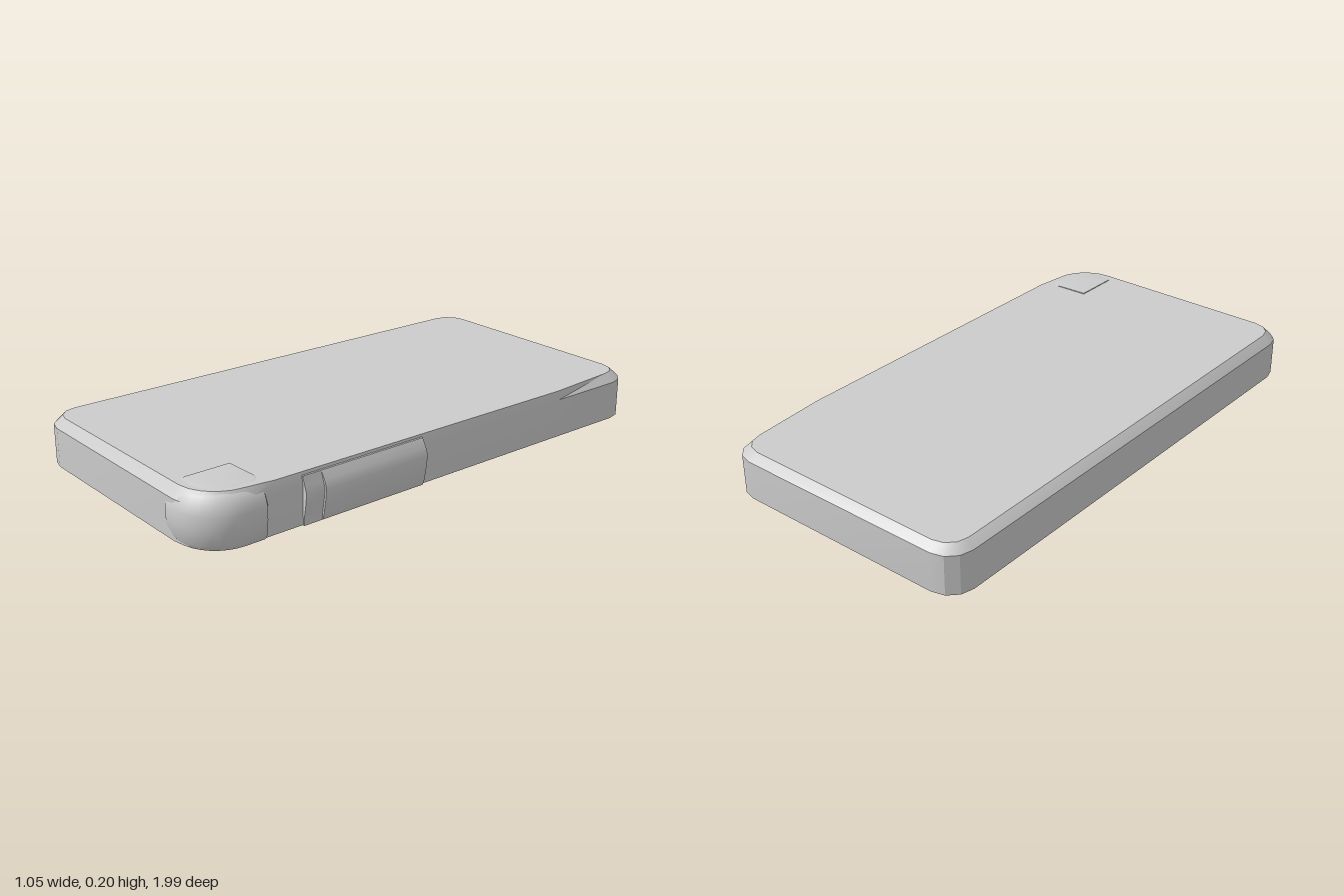
import * as THREE from 'three';
import { toCreasedNormals } from 'three/addons/utils/BufferGeometryUtils.js';

const material = new THREE.MeshStandardMaterial({ color: 0xcccccc });

// Points of a quarter arc, quadrant 0 running from +x towards +z.
function arc(cx, cz, r, quadrant, n) {
  return Array.from({ length: n + 1 }, (_, i) => {
    const a = (quadrant + i / n) * Math.PI / 2;
    return [cx + r * Math.cos(a), cz + r * Math.sin(a)];
  });
}

// Closed solid through equal-length rings of [x, y, z], bottom to top.
function loft(rings, crease) {
  const pos = [];
  const tri = (a, b, c) => pos.push(...a, ...b, ...c);
  const n = rings[0].length;
  const centre = ring => [0, 1, 2].map(k => ring.reduce((s, p) => s + p[k], 0) / n);
  const top = rings[rings.length - 1], bottom = rings[0];
  const ct = centre(top), cb = centre(bottom);
  for (let i = 0; i < n; i++) {
    const j = (i + 1) % n;
    for (let k = 0; k + 1 < rings.length; k++) {
      const lo = rings[k], hi = rings[k + 1];
      tri(lo[i], hi[i], lo[j]);
      tri(lo[j], hi[i], hi[j]);
    }
    tri(ct, top[j], top[i]);
    tri(cb, bottom[i], bottom[j]);
  }
  const g = new THREE.BufferGeometry();
  g.setAttribute('position', new THREE.Float32BufferAttribute(pos, 3));
  return toCreasedNormals(g, crease);
}

// Slab outline; the right rear edge may taper towards the straight side.
function slabOutline(left, rightFront, rightSide, rightBack, back, front, r, rFront) {
  return [
    ...arc(rightFront - rFront, front - rFront, rFront, 0, 5),
    ...arc(left + r, front - r, r, 1, 3),
    ...arc(left + r, back + r, r, 2, 3),
    ...arc(rightBack - r, back + r, r, 3, 3),
    [rightSide, -0.6], [rightSide, 0.7]
  ];
}

export function createModel() {
  const group = new THREE.Group();
  const add = (name, geometry) => {
    const mesh = new THREE.Mesh(geometry, material);
    mesh.name = name;
    group.add(mesh);
  };

  // Main slab: straight walls, chamfered upper rim, very slightly tilted top
  const wall = slabOutline(-0.525, 0.495, 0.495, 0.495, -1, 0.985, 0.095, 0.165);
  const rim = slabOutline(-0.495, 0.475, 0.488, 0.465, -0.972, 0.957, 0.08, 0.15);
  add('body', loft([
    wall.map(([x, z]) => [x, 0.01, z]),
    wall.map(([x, z]) => [x, 0.157, z]),
    rim.map(([x, z]) => [x, 0.19 + 0.005 * x + 0.004 * z, z])
  ], 0.4));

  // Swollen rounded corner: [height, inset] sections
  const sections = [[0, 0.035], [0.006, 0.018], [0.025, 0.006], [0.08, 0], [0.125, 0],
    [0.16, 0.012], [0.183, 0.03], [0.194, 0.052], [0.198, 0.08]];
  add('cornerBumper', loft(sections.map(([y, d]) => [
    ...arc(0.347, 0.827, 0.165 - d, 0, 8),
    [0.29, 0.988 - d], [0.29, 0.74], [0.49 - d, 0.735], [0.512 - d, 0.75]
  ].map(([x, z]) => [x, y, z])), 0.6));

  // Side buttons: one curved profile run along z
  const button = (name, z0, z1, out) => {
    const shape = new THREE.Shape([[0.47, 0.008], [0.5, 0.008], [0.508, 0.03], [0.517, 0.08],
      [0.523, 0.125], [0.513, 0.152], [0.495, 0.182], [0.47, 0.189]]
      .map(([x, y]) => new THREE.Vector2(x > 0.5 ? x + out : x, y)));
    const g = new THREE.ExtrudeGeometry(shape, { depth: z1 - z0, bevelEnabled: false });
    add(name, toCreasedNormals(g.translate(0, 0, z0), 0.5));
  };
  button('sideButton', 0.085, 0.525, 0);
  button('smallSideButton', 0.525, 0.6, -0.008);

  return group;
}
